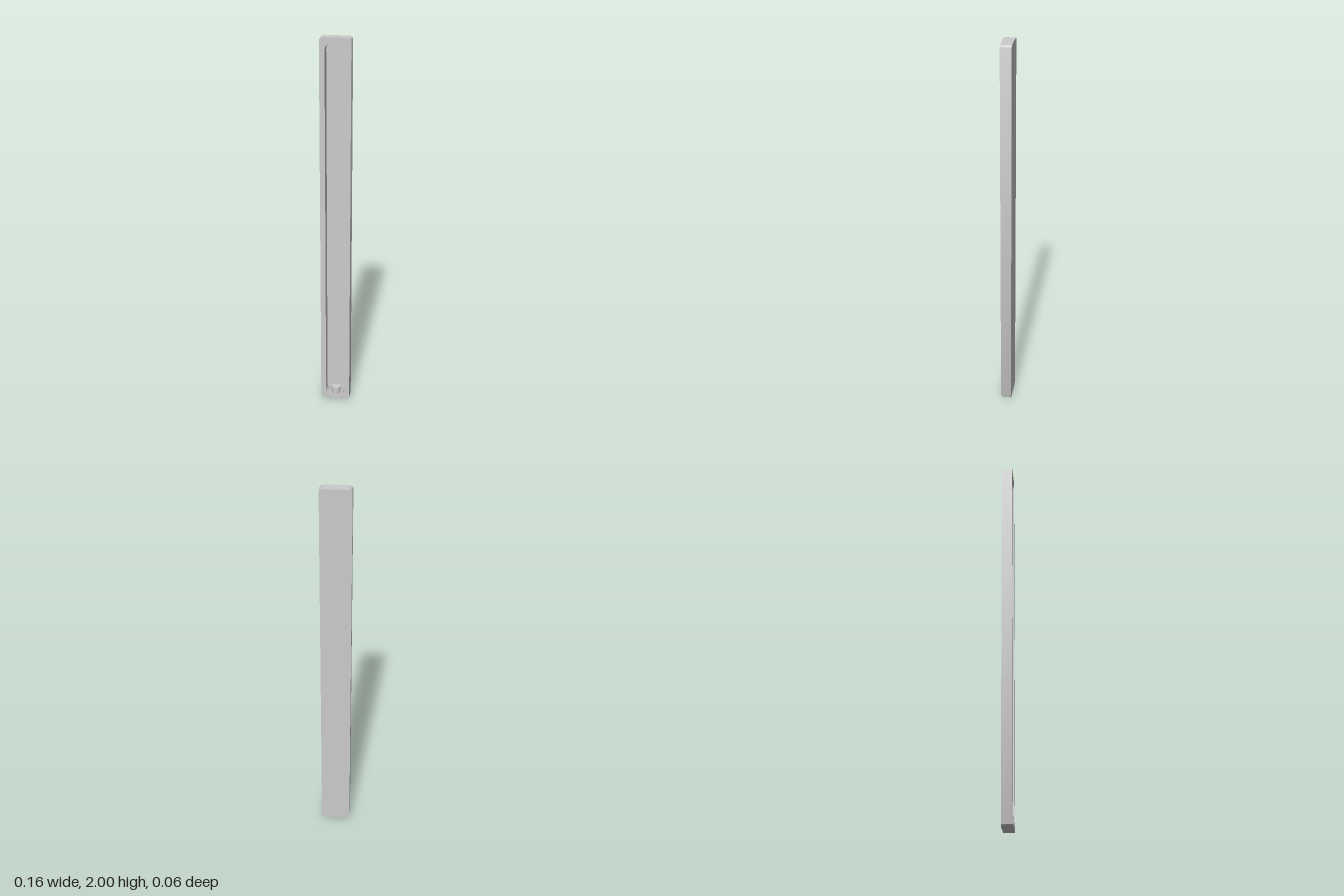
import * as THREE from 'three';
import { toCreasedNormals } from 'three/addons/utils/BufferGeometryUtils.js';

// Trace a rounded rectangle centred on x = 0 into a Shape or Path
function roundedRect(path, halfW, y0, y1, r) {
  path.moveTo(-halfW + r, y0);
  path.lineTo(halfW - r, y0);
  path.absarc(halfW - r, y0 + r, r, -Math.PI / 2, 0, false);
  path.lineTo(halfW, y1 - r);
  path.absarc(halfW - r, y1 - r, r, 0, Math.PI / 2, false);
  path.lineTo(-halfW + r, y1);
  path.absarc(-halfW + r, y1 - r, r, Math.PI / 2, Math.PI, false);
  path.lineTo(-halfW, y0 + r);
  path.absarc(-halfW + r, y0 + r, r, Math.PI, Math.PI * 1.5, false);
  return path;
}

export function createModel() {
  const group = new THREE.Group();
  group.name = 'channelBar';
  const material = new THREE.MeshStandardMaterial({ color: 0xcccccc });
  const add = (name, geometry, x, y, z) => {
    const mesh = new THREE.Mesh(geometry, material);
    mesh.name = name;
    mesh.position.set(x, y, z);
    group.add(mesh);
  };

  const halfW = 0.078, halfD = 0.028, floor = 0.009;
  const outline = () => roundedRect(new THREE.Shape(), halfW, 0, 2, 0.018);
  const extrude = (shape, depth) => toCreasedNormals(
    new THREE.ExtrudeGeometry(shape, { depth, bevelEnabled: false, curveSegments: 12 }), 0.6);

  // Thin solid back
  add('backPlate', extrude(outline(), floor), 0, 0, -halfD);

  // Rim around the long round-ended recess
  const rim = outline();
  rim.holes.push(roundedRect(new THREE.Path(), 0.051, 0.022, 1.98, 0.045));
  add('rim', extrude(rim, 2 * halfD - floor), 0, 0, -halfD + floor);

  // Short upright peg at the lower end of the recess
  add('peg', new THREE.CylinderGeometry(0.025, 0.025, 0.045, 32), 0, 0.0425, 0);

  return group;
}
